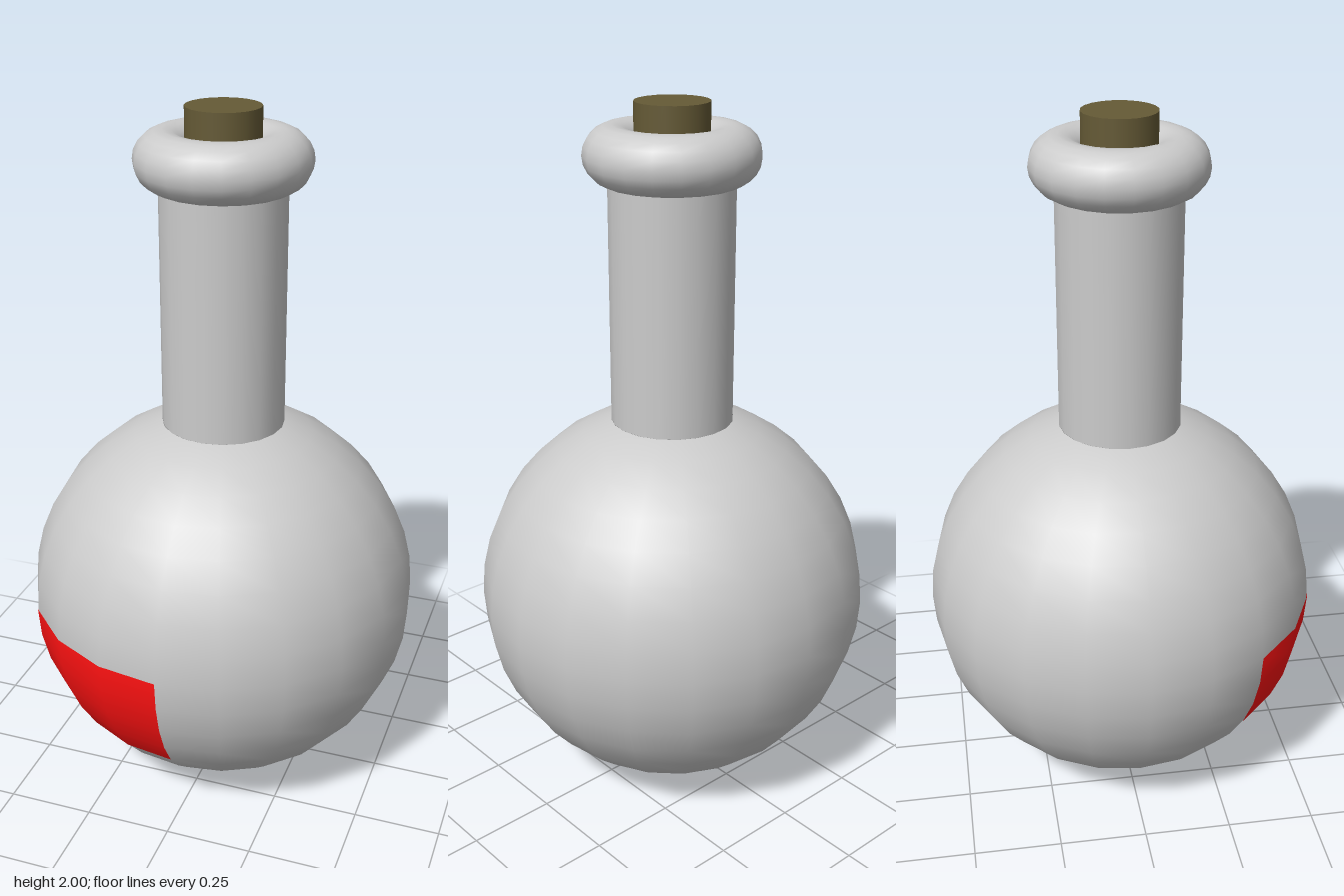
import * as THREE from 'three';

const SIDES = 20;
const RADIUS = 0.568;
const CENTRE_Y = 0.57;
const rad = THREE.MathUtils.degToRad;

function addPart(group, name, geometry, color, y) {
  const material = new THREE.MeshStandardMaterial({ color, side: THREE.DoubleSide });
  const mesh = new THREE.Mesh(geometry, material);
  mesh.name = name;
  mesh.position.y = y;
  group.add(mesh);
  return mesh;
}

export function createModel() {
  const flask = new THREE.Group();
  flask.name = 'flask';

  // Round body, open at the top where the neck joins
  const body = new THREE.SphereGeometry(RADIUS, SIDES, 18, 0, Math.PI * 2, rad(18), rad(162));
  addPart(flask, 'body', body, 0xcccccc, CENTRE_Y);

  // Label: a patch following the body's facets, lifted slightly off them
  const label = new THREE.SphereGeometry(RADIUS + 0.002, 3, 4, rad(36), rad(54), rad(90), rad(36));
  addPart(flask, 'label', label, 0xff1212, CENTRE_Y);

  // Straight neck, from the body's opening up into the rim
  const neckBottom = CENTRE_Y + RADIUS * Math.cos(rad(18));
  const neckTop = 1.86;
  const neck = new THREE.CylinderGeometry(0.175, 0.175, neckTop - neckBottom, SIDES, 1, true);
  addPart(flask, 'neck', neck, 0xcccccc, (neckBottom + neckTop) / 2);

  // Rounded rim
  const rim = new THREE.TorusGeometry(0.162, 0.08, 20, SIDES);
  rim.rotateX(Math.PI / 2);
  addPart(flask, 'rim', rim, 0xcccccc, 1.86);

  // Cork stopper
  const cork = new THREE.CylinderGeometry(0.103, 0.103, 0.24, SIDES);
  addPart(flask, 'cork', cork, 0x655a36, 1.88);

  return flask;
}
